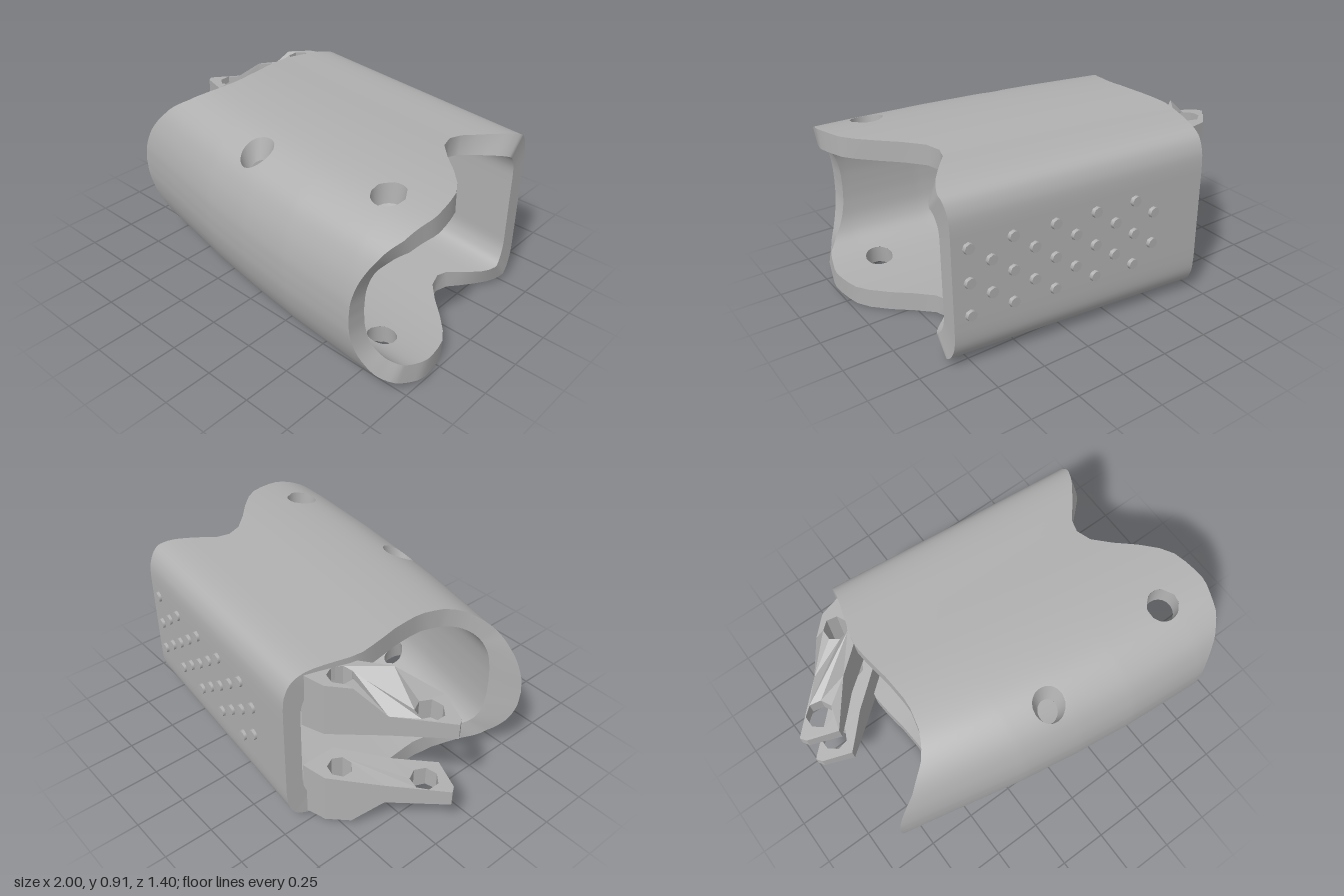
import * as THREE from 'three';

const MID = 0.455, NX = 90, HALF = 52;

// piecewise-linear lookup in [key, value] pairs with rising keys
function lookup(table, k) {
  if (k <= table[0][0]) return table[0][1];
  for (let i = 1; i < table.length; i++) {
    const [a, va] = table[i - 1], [b, vb] = table[i];
    if (k <= b) return b - a < 1e-9 ? vb : va + (vb - va) * (k - a) / (b - a);
  }
  return table[table.length - 1][1];
}

// the sleeve tilts: back and front walls drift in z along x
const FRONT = [[-0.85, 0.435], [-0.5, 0.51], [-0.2, 0.575], [0.1, 0.625], [0.4, 0.665], [0.8, 0.697], [1, 0.705]];
const backZ = x => -0.70 + (x + 0.46) * 0.1;
const frontZ = x => lookup(FRONT, x);
const zAt = (x, f) => backZ(x) + f * (frontZ(x) - backZ(x));
const fAt = (x, z) => (z - backZ(x)) / (frontZ(x) - backZ(x));

// scalloped ends: x of each end by depth fraction (0 back, 1 front)
const LEFT = [[0, -0.46], [0.1, -0.48], [0.3, -0.55], [0.4, -0.54], [0.5, -0.52], [0.63, -0.51], [0.74, -0.54],
  [0.8, -0.575], [0.853, -0.62], [0.937, -0.73], [1, -0.86]];
const RIGHT = [[0, 0.85], [0.055, 0.86], [0.11, 0.83], [0.2, 0.75], [0.27, 0.68], [0.33, 0.66], [0.38, 0.69], [0.44, 0.77],
  [0.51, 0.88], [0.58, 0.96], [0.67, 0.99], [0.75, 1.0], [0.87, 0.96], [0.94, 0.9], [1, 0.82]];

// half sections from front to back: [depth fraction, half height]
const OUTER = [[1, 0], [0.995, 0.1], [0.97, 0.22], [0.92, 0.33], [0.84, 0.4], [0.75, 0.435], [0.55, 0.455],
  [0.3, 0.445], [0.1, 0.43], [0.04, 0.4], [0.01, 0.34], [0, 0.25], [0, 0]];
const INNER = [[0.92, 0], [0.917, 0.1], [0.903, 0.2], [0.87, 0.27], [0.815, 0.315], [0.73, 0.34], [0.55, 0.355],
  [0.3, 0.345], [0.15, 0.335], [0.105, 0.31], [0.08, 0.26], [0.07, 0.2], [0.07, 0]];

// closed section loop plus a height lookup
function section(points) {
  const curve = new THREE.CatmullRomCurve3(points.map(([f, h]) => new THREE.Vector3(f, h, 0)));
  const min = points[points.length - 1][0], max = points[0][0];
  const half = [];
  for (let j = 0; j <= HALF; j++) {
    const p = curve.getPoint(j / HALF);
    half.push({ f: Math.min(max, Math.max(min, p.x)), h: Math.max(0, p.y), s: 1 });
  }
  const lower = half.slice(1, -1).reverse().map(p => ({ ...p, s: -1 }));
  const table = half.map(p => [p.f, p.h]).reverse();
  return { loop: [...half, ...lower], height: f => lookup(table, f) };
}

// surface through closed rows of points; keep() may drop cells
function surface(rows, flip, keep = () => true) {
  const n = rows[0].length, pos = [], index = [];
  rows.forEach(r => r.forEach(p => pos.push(p.x, p.y, p.z)));
  for (let i = 0; i < rows.length - 1; i++) for (let j = 0; j < n; j++) {
    const k = (j + 1) % n, a = i * n + j, b = a + n, c = i * n + k, d = c + n;
    if (!keep(rows[i][j], rows[i + 1][j], rows[i][k], rows[i + 1][k])) continue;
    if (flip) index.push(a, c, b, b, c, d);
    else index.push(a, b, c, b, d, c);
  }
  const g = new THREE.BufferGeometry();
  g.setAttribute('position', new THREE.Float32BufferAttribute(pos, 3));
  g.setIndex(index);
  g.computeVertexNormals();
  return g;
}

// holes through the upper and lower walls
const HOLES = [{ x: 0.02, z: 0.43, outer: 0.08, inner: 0.05 }, { x: 0.75, z: 0.37, outer: 0.08, inner: 0.07 }];

function wallRows(sec, ends, radiusKey) {
  const rows = [];
  for (let i = 0; i <= NX; i++) rows.push(sec.loop.map((p, j) => {
    let x = ends[j][0] + (ends[j][1] - ends[j][0]) * i / NX;
    let z = zAt(x, p.f), y = MID + p.s * p.h, cut = false;
    for (const hole of HOLES) {
      const dx = x - hole.x, dz = z - hole.z, d = Math.hypot(dx, dz) || 1e-6, r = hole[radiusKey];
      if (d < r) {
        cut = true;
        x = hole.x + dx * r / d;
        z = hole.z + dz * r / d;
        y = MID + p.s * sec.height(fAt(x, z));
      }
    }
    return { x, y, z, cut };
  }));
  return rows;
}

// plan outline and holes of a locking tab, in x and z
const TAB = [[-0.46, -0.6], [-0.58, -0.57], [-0.67, -0.485], [-0.78, -0.38], [-1.0, -0.17], [-0.98, -0.14], [-0.83, -0.085],
  [-0.76, -0.155], [-0.67, -0.25], [-0.57, -0.33], [-0.46, -0.42]];
// upper and lower heights of the tab by distance along -x
const TAB_TOP = [[0.46, 0.87], [0.67, 0.86], [0.77, 0.72], [1, 0.7]];
const TAB_BOTTOM = [[0.46, 0.58], [0.77, 0.61], [1, 0.62]];

function tabGeometry(upper) {
  const shape = new THREE.Shape(TAB.map(([x, z]) => new THREE.Vector2(x, -z)));
  for (const [x, z, r] of [[-0.57, -0.47, 0.06], [-0.86, -0.21, 0.068]]) {
    const pts = [];
    for (let k = 0; k < 7; k++) {
      const a = k / 7 * Math.PI * 2;
      pts.push(new THREE.Vector2(x + r * Math.cos(a), -z + r * Math.sin(a)));
    }
    shape.holes.push(new THREE.Path(pts));
  }
  const g = new THREE.ExtrudeGeometry(shape, { depth: 1, bevelEnabled: false });
  g.rotateX(-Math.PI / 2);
  // slope the block from its deep root to its thin tip
  const p = g.attributes.position;
  for (let i = 0; i < p.count; i++) {
    const high = p.getY(i) > 0.5;
    const y = lookup(high === upper ? TAB_TOP : TAB_BOTTOM, -p.getX(i));
    p.setY(i, upper ? y : 2 * MID - y);
  }
  g.computeVertexNormals();
  return g;
}

export function createModel() {
  const model = new THREE.Group();
  model.name = 'sleeve';
  const grey = new THREE.MeshStandardMaterial({ color: 0xb0b0b0 });
  grey.name = 'grey';
  const add = (name, geometry, parent = model) => {
    const mesh = new THREE.Mesh(geometry, grey);
    mesh.name = name;
    parent.add(mesh);
    return mesh;
  };

  // walls and end rims; the -x end is cut straight through, the +x end square to the wall
  const out = section(OUTER), inn = section(INNER);
  const outEnds = out.loop.map(p => [lookup(LEFT, p.f), lookup(RIGHT, p.f)]);
  const inEnds = inn.loop.map((p, j) => [lookup(LEFT, p.f), outEnds[j][1]]);
  const outRows = wallRows(out, outEnds, 'outer'), inRows = wallRows(inn, inEnds, 'inner');
  const keep = (a, b, c, d) => !(a.cut && b.cut && c.cut && d.cut);
  add('outerWall', surface(outRows, false, keep));
  add('innerWall', surface(inRows, true, keep));
  add('leftRim', surface([outRows[NX], inRows[NX]], false));
  add('rightRim', surface([outRows[0], inRows[0]], true));

  // sides of the holes
  for (const hole of HOLES) for (const s of [1, -1]) {
    const ring = (sec, r) => Array.from({ length: 20 }, (_, k) => {
      const a = k / 20 * Math.PI * 2, x = hole.x + r * Math.cos(a), z = hole.z + r * Math.sin(a);
      return { x, y: MID + s * sec.height(fAt(x, z)), z };
    });
    add('holeSide', surface([ring(out, hole.outer), ring(inn, hole.inner)], s < 0));
  }

  // locking tabs
  add('upperTab', tabGeometry(true));
  add('lowerTab', tabGeometry(false));

  // staggered grip studs on the back
  const studs = new THREE.Group();
  studs.name = 'gripStuds';
  model.add(studs);
  const studShape = new THREE.CylinderGeometry(0.026, 0.03, 0.03, 8).rotateX(-Math.PI / 2);
  for (let i = 0; i < 10; i++) {
    const x = 0.77 - i * 0.106;
    for (const y of i % 2 ? [0.375, 0.54] : [0.29, 0.455, 0.625])
      add('gripStud', studShape, studs).position.set(x, y, backZ(x) - 0.001);
  }
  return model;
}
